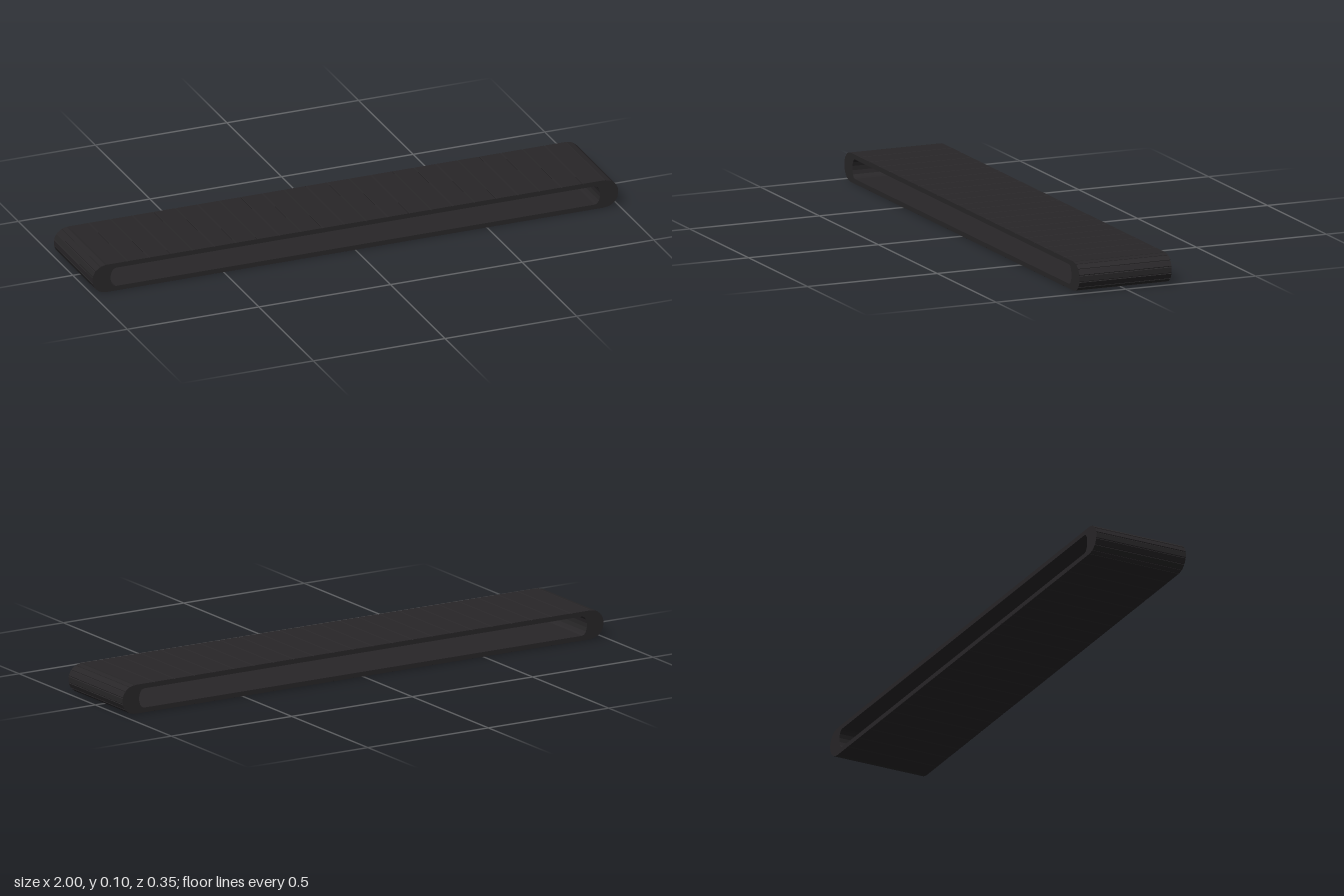
import * as THREE from 'three';

const WIDTH = 0.355;       // belt width along z
const R = 0.0525;          // outer radius of the turns
const CX = 1 - R;          // centre of the outer turns
const INNER_X = 0.91;      // where the inner straight run ends
const INNER_RX = 0.02, INNER_RY = 0.035;
const RUN_SLATS = 23, TURN_SLATS = 7;
const CHAMFER = 0.0025;

// Slat joints around the loop: an outer point and the matching inner point
function joints() {
  const list = [];
  for (const s of [1, -1]) {
    // turn at one end, from bottom to top (or top to bottom on the far side)
    for (let i = 0; i < TURN_SLATS; i++) {
      const a = -Math.PI / 2 + (Math.PI * i) / TURN_SLATS;
      const c = Math.cos(a), n = Math.sin(a);
      list.push({
        outer: new THREE.Vector2(s * (CX + R * c), R + s * R * n),
        inner: new THREE.Vector2(s * (INNER_X + INNER_RX * c), R + s * INNER_RY * n),
      });
    }
    // straight run leading to the other end
    for (let i = 0; i < RUN_SLATS; i++) {
      const x = s * (CX - (2 * CX * i) / RUN_SLATS);
      list.push({
        outer: new THREE.Vector2(x, R + s * R),
        inner: new THREE.Vector2(THREE.MathUtils.clamp(x, -INNER_X, INNER_X), R + s * INNER_RY),
      });
    }
  }
  return list;
}

// One slat between two joints, its outer edges chamfered to leave a groove
function slat(a, b, material) {
  const toward = (p, q, d) => q.clone().sub(p).setLength(d).add(p);
  const shape = new THREE.Shape([
    toward(a.outer, a.inner, CHAMFER),
    toward(a.outer, b.outer, CHAMFER),
    toward(b.outer, a.outer, CHAMFER),
    toward(b.outer, b.inner, CHAMFER),
    b.inner,
    a.inner,
  ]);
  const geometry = new THREE.ExtrudeGeometry(shape, { depth: WIDTH, bevelEnabled: false });
  geometry.translate(0, 0, -WIDTH / 2);
  return new THREE.Mesh(geometry, material);
}

export function createModel() {
  const belt = new THREE.Group();
  belt.name = 'slattedBelt';
  const material = new THREE.MeshStandardMaterial({ color: 0x282628 });
  const loop = joints();
  loop.forEach((joint, i) => {
    const mesh = slat(joint, loop[(i + 1) % loop.length], material);
    const turn = i % (TURN_SLATS + RUN_SLATS) < TURN_SLATS;
    mesh.name = turn ? 'turnSlat' : 'runSlat';
    belt.add(mesh);
  });
  return belt;
}
